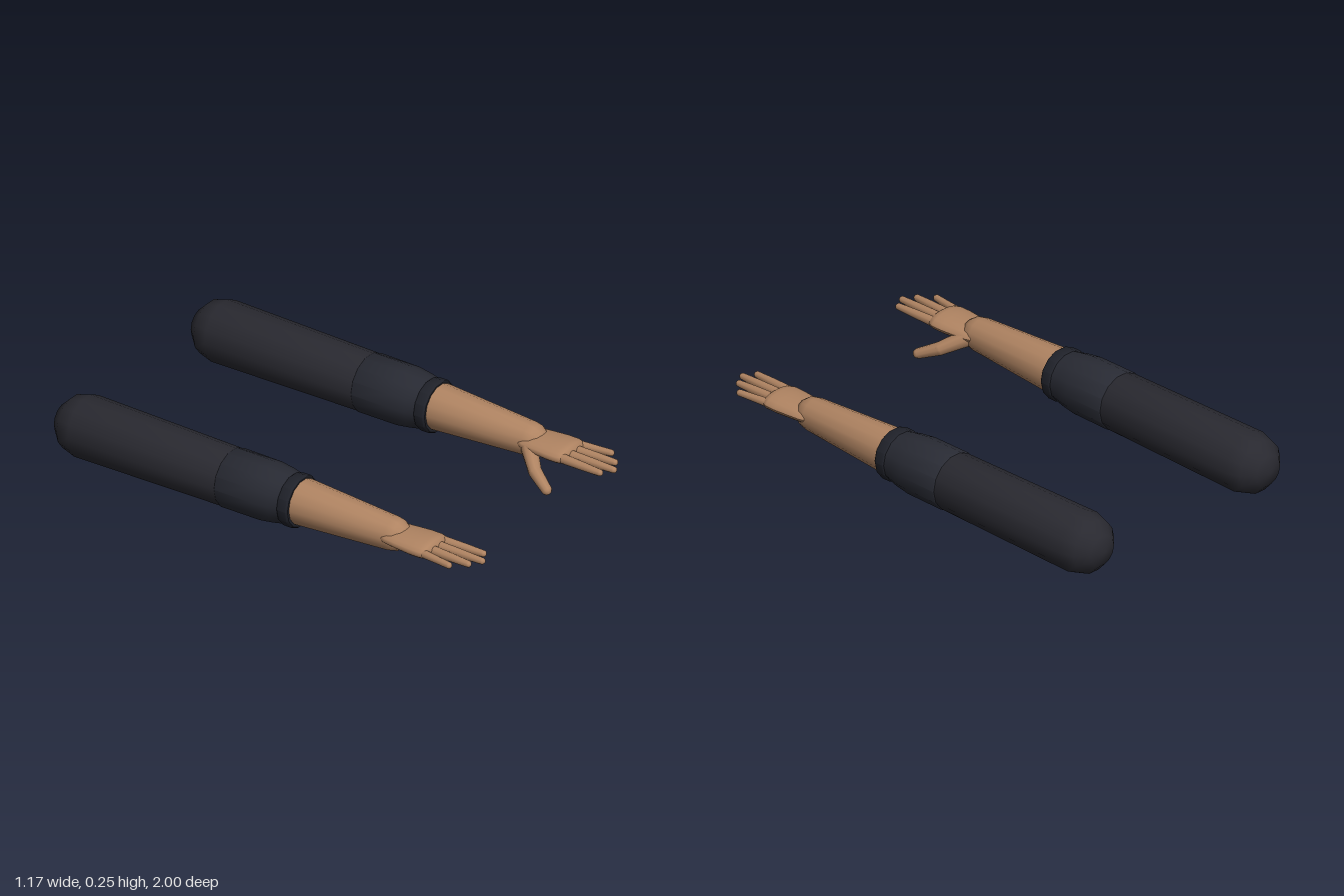
import * as THREE from 'three';
import { toCreasedNormals } from 'three/addons/utils/BufferGeometryUtils.js';

const ARM_X = 0.455;

// Solid of revolution along +z from [radius, z] pairs
function turned(profile, sides = 14) {
  const pts = profile.map(([r, z]) => new THREE.Vector2(r, z));
  const g = new THREE.LatheGeometry(pts, sides, Math.PI / 2);
  g.rotateX(Math.PI / 2);
  return g;
}

// Tapered rod with round ends, its end centres at a and b
function taperedRod(a, b, r0, r1, sides = 10) {
  const dir = new THREE.Vector3().subVectors(b, a);
  const len = dir.length(), profile = [];
  for (let i = 0; i <= 4; i++) {
    const t = (i / 4) * Math.PI / 2;
    profile.push([r0 * Math.sin(t), -r0 * Math.cos(t)]);
  }
  for (let i = 0; i <= 4; i++) {
    const t = (i / 4) * Math.PI / 2;
    profile.push([r1 * Math.cos(t), len + r1 * Math.sin(t)]);
  }
  const g = turned(profile, sides);
  g.applyQuaternion(new THREE.Quaternion().setFromUnitVectors(new THREE.Vector3(0, 0, 1), dir.normalize()));
  g.translate(a.x, a.y, a.z);
  return g;
}

export function createModel() {
  const sleeveMat = new THREE.MeshStandardMaterial({ name: 'darkFabric', color: 0x292930 });
  const lowerMat = new THREE.MeshStandardMaterial({ name: 'slateFabric', color: 0x282a33 });
  const cuffMat = new THREE.MeshStandardMaterial({ name: 'cuffFabric', color: 0x1f2129 });
  const skinMat = new THREE.MeshStandardMaterial({ name: 'skin', color: 0xb08462 });

  function buildArm(side, name) {
    const arm = new THREE.Group();
    arm.name = name;
    const add = (part, geometry, material) => {
      const m = new THREE.Mesh(geometry, material);
      m.name = part;
      arm.add(m);
      return m;
    };
    const addRound = (part, profile, material, y = 0.125) =>
      add(part, toCreasedNormals(turned(profile), 0.7), material).position.set(side * ARM_X, y, 0);
    const P = (x, y, z) => new THREE.Vector3(side * x, y, z);

    // Sleeve: domed upper part, lower part and cuff band
    addRound('upperSleeve', [[0, -1], [0.064, -0.983], [0.111, -0.937], [0.128, -0.875],
      [0.119, -0.18], [0.1, -0.1], [0, -0.06]], sleeveMat);
    addRound('lowerSleeve', [[0, -0.188], [0.117, -0.188], [0.122, -0.182], [0.121, 0],
      [0.113, 0.06], [0.103, 0.11], [0, 0.11]], lowerMat);
    addRound('cuff', [[0.09, 0.098], [0.103, 0.098], [0.109, 0.106], [0.109, 0.143],
      [0.103, 0.151], [0.09, 0.151]], cuffMat);

    // Forearm with a rounded wrist
    addRound('forearm', [[0, 0.1], [0.094, 0.1], [0.094, 0.16], [0.069, 0.58],
      [0.063, 0.61], [0.046, 0.635], [0.024, 0.647], [0, 0.65]], skinMat, 0.128);

    // Flattened palm
    const palm = turned([[0, 0.53], [0.06, 0.54], [0.077, 0.59], [0.083, 0.64], [0.09, 0.71],
      [0.09, 0.755], [0.083, 0.778], [0.06, 0.79], [0, 0.795]], 20);
    palm.scale(1, 0.4, 1);
    palm.computeVertexNormals();
    add('palm', palm, skinMat).position.set(side * ARM_X, 0.131, 0);

    // Fingers: knuckle x, tip x, tip z
    const fingers = [
      ['indexFinger', 0.395, 0.387, 0.97], ['middleFinger', 0.436, 0.437, 1.0],
      ['ringFinger', 0.478, 0.487, 0.97], ['littleFinger', 0.52, 0.539, 0.915],
    ];
    for (const [finger, x0, x1, z1] of fingers) {
      const r = finger === 'littleFinger' ? 0.018 : 0.021;
      const a = P(x0, 0.131, 0.76), b = P(x1, 0.131, z1 - 0.014);
      const mid = a.clone().lerp(b, 0.62);
      add(finger, taperedRod(a, mid, r, r * 0.84), skinMat);
      add(finger + 'Tip', taperedRod(mid, b, r * 0.84, 0.014), skinMat);
    }

    // Thumb, spread inward and down
    const t0 = P(0.405, 0.118, 0.61), t1 = P(0.338, 0.07, 0.685), t2 = P(0.301, 0.032, 0.766);
    add('thumbBase', taperedRod(t0, t1, 0.034, 0.027), skinMat);
    add('thumbTip', taperedRod(t1, t2, 0.027, 0.021), skinMat);
    return arm;
  }

  const model = new THREE.Group();
  model.name = 'armPair';
  model.add(buildArm(1, 'leftArm'), buildArm(-1, 'rightArm'));
  return model;
}
